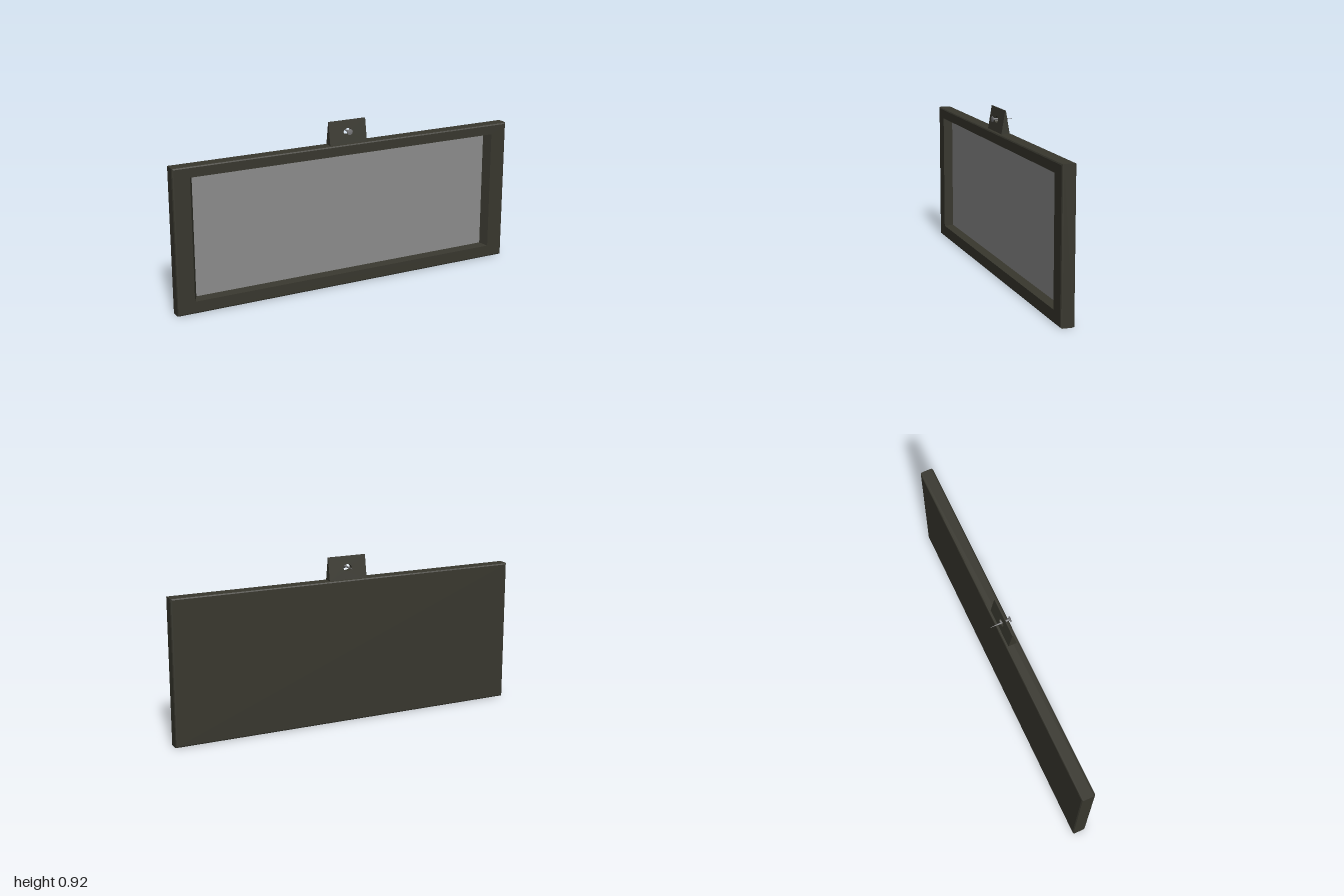
import * as THREE from 'three';

const mat = (name, color) => {
  const m = new THREE.MeshStandardMaterial({ color });
  m.name = name;
  return m;
};

// Surface through a list of rectangular rings [halfWidth, bottom, top, z], closed at the first ring
function ringSurface(rings) {
  const corners = rings.map(([w, b, t, z]) => [[-w, b, z], [w, b, z], [w, t, z], [-w, t, z]]);
  const pos = [];
  const quad = (a, b, c, d) => pos.push(...a, ...b, ...c, ...a, ...c, ...d);
  const first = corners[0];
  quad(first[3], first[2], first[1], first[0]);
  for (let i = 0; i < corners.length - 1; i++) {
    for (let j = 0; j < 4; j++) {
      const k = (j + 1) % 4;
      quad(corners[i][j], corners[i][k], corners[i + 1][k], corners[i + 1][j]);
    }
  }
  const g = new THREE.BufferGeometry();
  g.setAttribute('position', new THREE.Float32BufferAttribute(pos, 3));
  g.computeVertexNormals();
  return g;
}

export function createModel() {
  const group = new THREE.Group();
  const frameMat = mat('dark olive', 0x38372e);
  const glassMat = mat('grey pane', 0x8c8c8c);
  const nailMat = mat('nail metal', 0x7a7a7c);
  const add = (name, geo, material) => {
    const mesh = new THREE.Mesh(geo, material);
    mesh.name = name;
    group.add(mesh);
    return mesh;
  };

  // Frame: closed back, bevelled rim, sloping recess down to the pane
  add('frame', ringSurface([
    [0.99, 0.008, 0.787, -0.01],
    [0.997, 0.002, 0.793, -0.007],
    [1, 0, 0.795, 0],
    [1, 0, 0.795, 0.054],
    [0.997, 0.002, 0.793, 0.061],
    [0.99, 0.008, 0.787, 0.064],
    [0.905, 0.068, 0.737, 0.064],
    [0.88, 0.077, 0.725, 0.018],
  ]), frameMat);

  // Pane at the bottom of the recess
  const pane = add('pane', new THREE.PlaneGeometry(1.76, 0.648), glassMat);
  pane.position.set(0, 0.401, 0.018);

  // Hanger: a pierced tab squeezed into a wedge towards its top
  const bottom = 0.79, top = 0.92, midZ = 0.026;
  const tab = new THREE.Shape([
    new THREE.Vector2(-0.11, bottom), new THREE.Vector2(0.11, bottom),
    new THREE.Vector2(0.11, top), new THREE.Vector2(-0.11, top),
  ]);
  const hole = new THREE.Path();
  hole.absellipse(0, 0.858, 0.025, 0.018, 0, Math.PI * 2, true);
  tab.holes.push(hole);
  const wedge = new THREE.ExtrudeGeometry(tab, { depth: 1, bevelEnabled: false, curveSegments: 12 });
  const p = wedge.attributes.position;
  for (let i = 0; i < p.count; i++) {
    const half = 0.002 + 0.022 * (top - p.getY(i)) / (top - bottom);
    p.setZ(i, midZ + (p.getZ(i) > 0.5 ? half : -half));
  }
  wedge.computeVertexNormals();
  add('hanger', wedge, frameMat);

  // Nail through the hanger hole, head to the front and point to the back
  const profile = [[0, -0.058], [0.004, 0.0], [0.006, 0.05], [0.009, 0.058], [0.016, 0.06], [0.016, 0.064], [0, 0.064]];
  const nailGeo = new THREE.LatheGeometry(profile.map(([r, y]) => new THREE.Vector2(r, y)), 16);
  nailGeo.rotateX(Math.PI / 2);
  const nail = add('nail', nailGeo, nailMat);
  nail.position.y = 0.861;

  return group;
}
